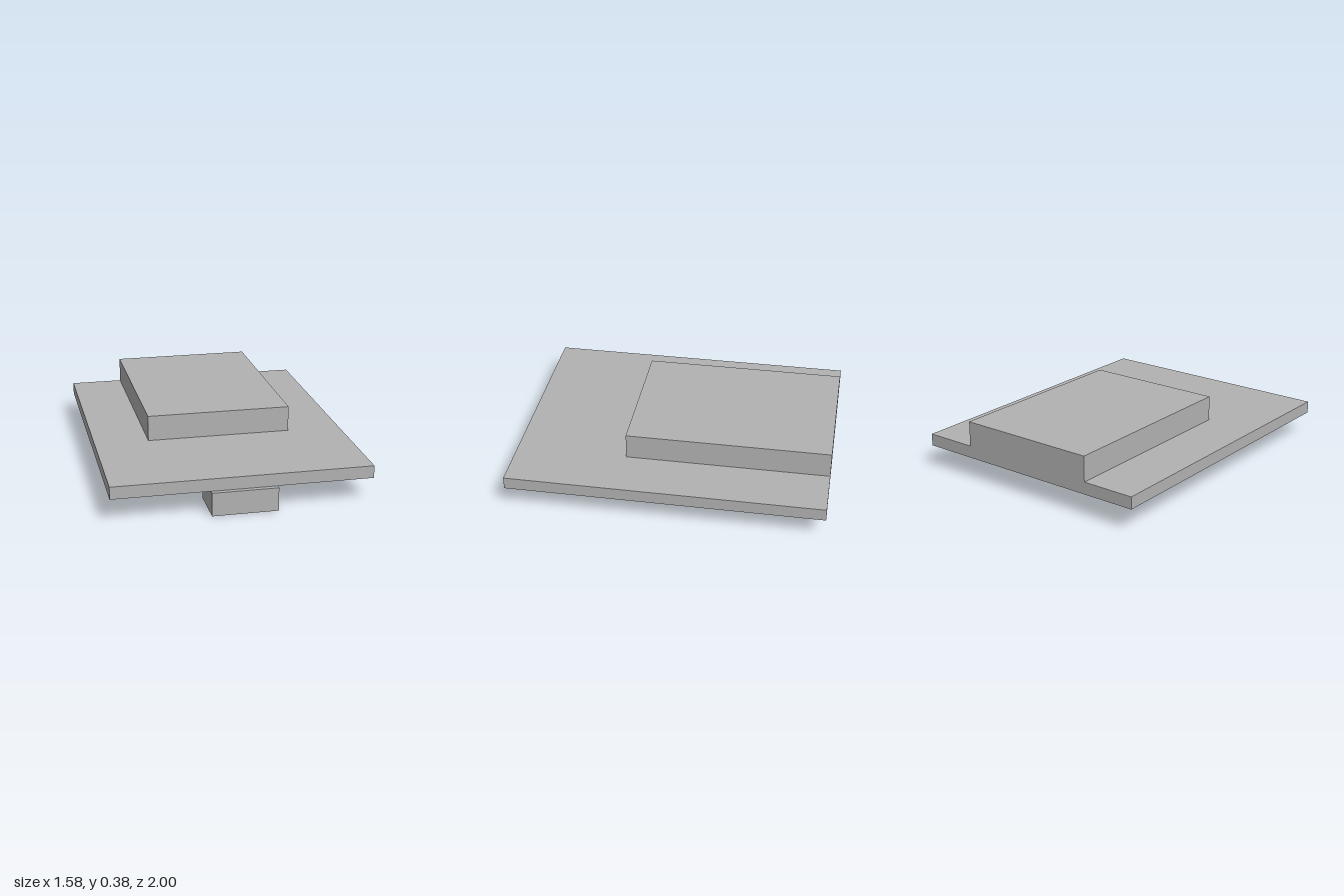
import * as THREE from 'three';

export function createModel() {
  const model = new THREE.Group();
  const grey = new THREE.MeshStandardMaterial({ color: 0xb2b2b2 });
  grey.name = 'grey';

  // Adds a box centred on x = 0, given its width and its y and z extents
  const addBox = (name, width, [y0, y1], [z0, z1]) => {
    const mesh = new THREE.Mesh(new THREE.BoxGeometry(width, y1 - y0, z1 - z0), grey);
    mesh.name = name;
    mesh.position.set(0, (y0 + y1) / 2, (z0 + z1) / 2);
    model.add(mesh);
  };

  addBox('basePlate', 1.58, [0.145, 0.222], [-1, 0.97]);
  addBox('upperBlock', 0.905, [0.222, 0.382], [-1, 0.272]);
  addBox('frontConnector', 0.4, [0, 0.145], [0.722, 1]);
  addBox('undersideChip', 0.3, [0.083, 0.145], [0.181, 0.481]);

  return model;
}
